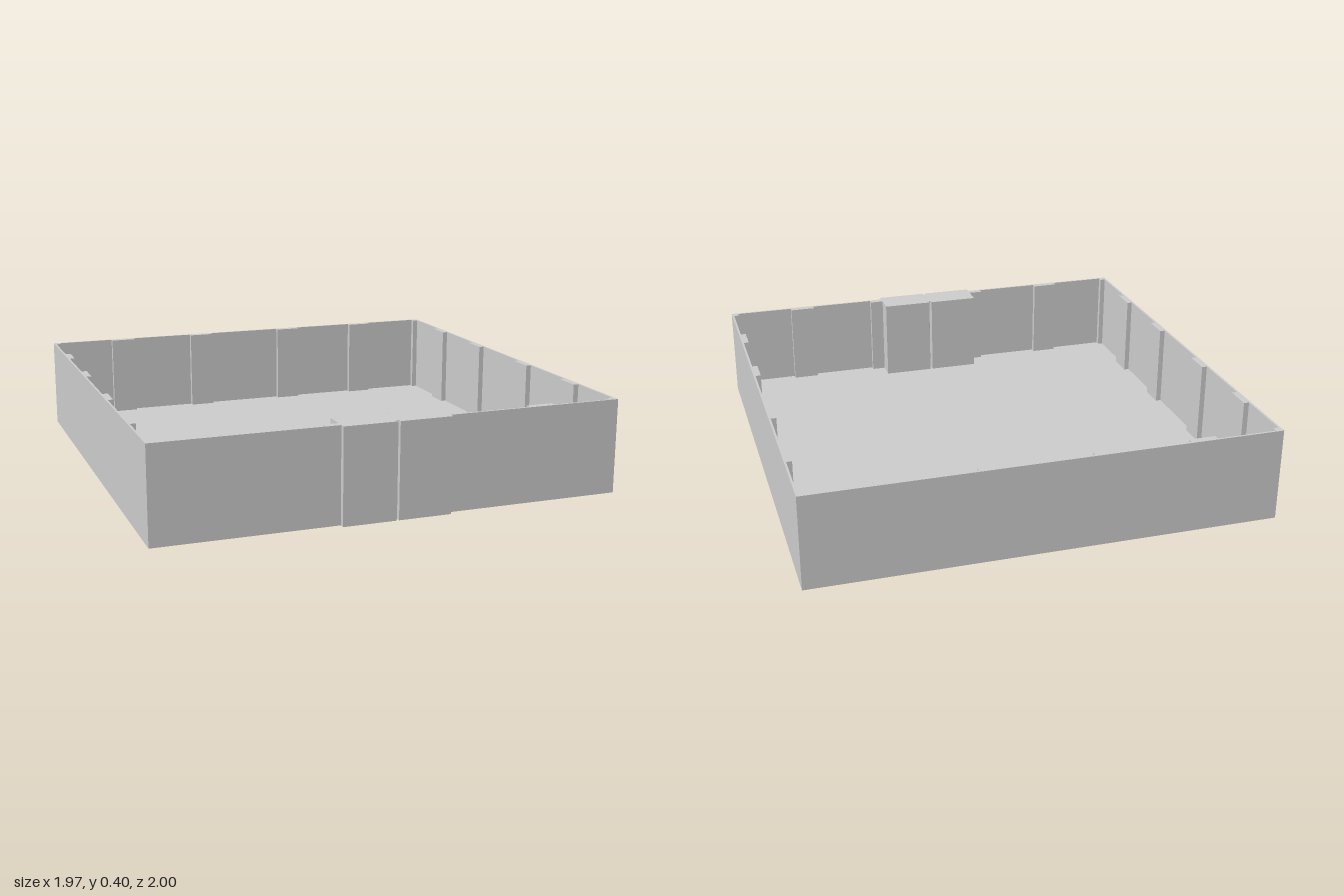
import * as THREE from 'three';

const HEIGHT = 0.4;
const X = 0.987, BACK = -1, FRONT = 0.977; // outer faces of the walls
const WALL = 0.009, DEPTH = 0.032, FLOOR = 0.035;
const material = new THREE.MeshStandardMaterial({ color: 0xcccccc, flatShading: true });

export function createModel() {
  const group = new THREE.Group();

  // box given by its plan extents and height
  const block = (name, x0, x1, z0, z1, h = HEIGHT) => {
    const mesh = new THREE.Mesh(new THREE.BoxGeometry(x1 - x0, h, z1 - z0), material);
    mesh.position.set((x0 + x1) / 2, h / 2, (z0 + z1) / 2);
    mesh.name = name;
    group.add(mesh);
  };

  // floor and thin perimeter walls
  const inX = X - WALL, inBack = BACK + WALL, inFront = FRONT - WALL;
  block('floor', -inX, inX, inBack, inFront, FLOOR);
  block('backWall', -X, X, BACK, inBack);
  block('rightWall', -X, -inX, inBack, FRONT);
  block('leftWall', inX, X, inBack, FRONT);
  block('frontWallRight', -inX, -0.23, inFront, FRONT);
  block('frontWallLeft', 0.23, inX, inFront, FRONT);
  // floor underside reaches the outer faces
  block('base', -X, X, BACK, FRONT, 0.004);

  // pilasters along the inside of the walls
  const half = 0.057;
  for (const x of [-0.642, -0.236, 0.233, 0.638]) {
    block('backPilaster', x - half, x + half, inBack, BACK + DEPTH);
    block('frontPilaster', x - half, x + half, FRONT - DEPTH, inFront);
  }
  for (const z of [-0.655, -0.247, 0.218, 0.628]) {
    block('rightPilaster', -inX, -X + DEPTH, z - half, z + half);
    block('leftPilaster', X - DEPTH, inX, z - half, z + half);
  }

  // corner posts
  for (const [z0, z1] of [[inBack, BACK + DEPTH], [FRONT - DEPTH, inFront]]) {
    block('rightCornerPost', -inX, -X + DEPTH, z0, z1);
    block('leftCornerPost', X - DEPTH, inX, z0, z1);
  }

  // gate block with a narrow centre groove front and back
  const outline = [
    [-0.23, 0.863], [-0.006, 0.863], [-0.006, 0.875], [0, 0.885], [0.006, 0.875], [0.006, 0.863],
    [0.23, 0.863], [0.23, 1], [0.005, 1], [0.005, 0.98], [-0.005, 0.98], [-0.005, 1], [-0.23, 1],
  ];
  const shape = new THREE.Shape(outline.map(([x, z]) => new THREE.Vector2(x, -z)));
  const geometry = new THREE.ExtrudeGeometry(shape, { depth: HEIGHT, bevelEnabled: false });
  geometry.rotateX(-Math.PI / 2);
  const gate = new THREE.Mesh(geometry, material);
  gate.name = 'gate';
  group.add(gate);

  return group;
}
